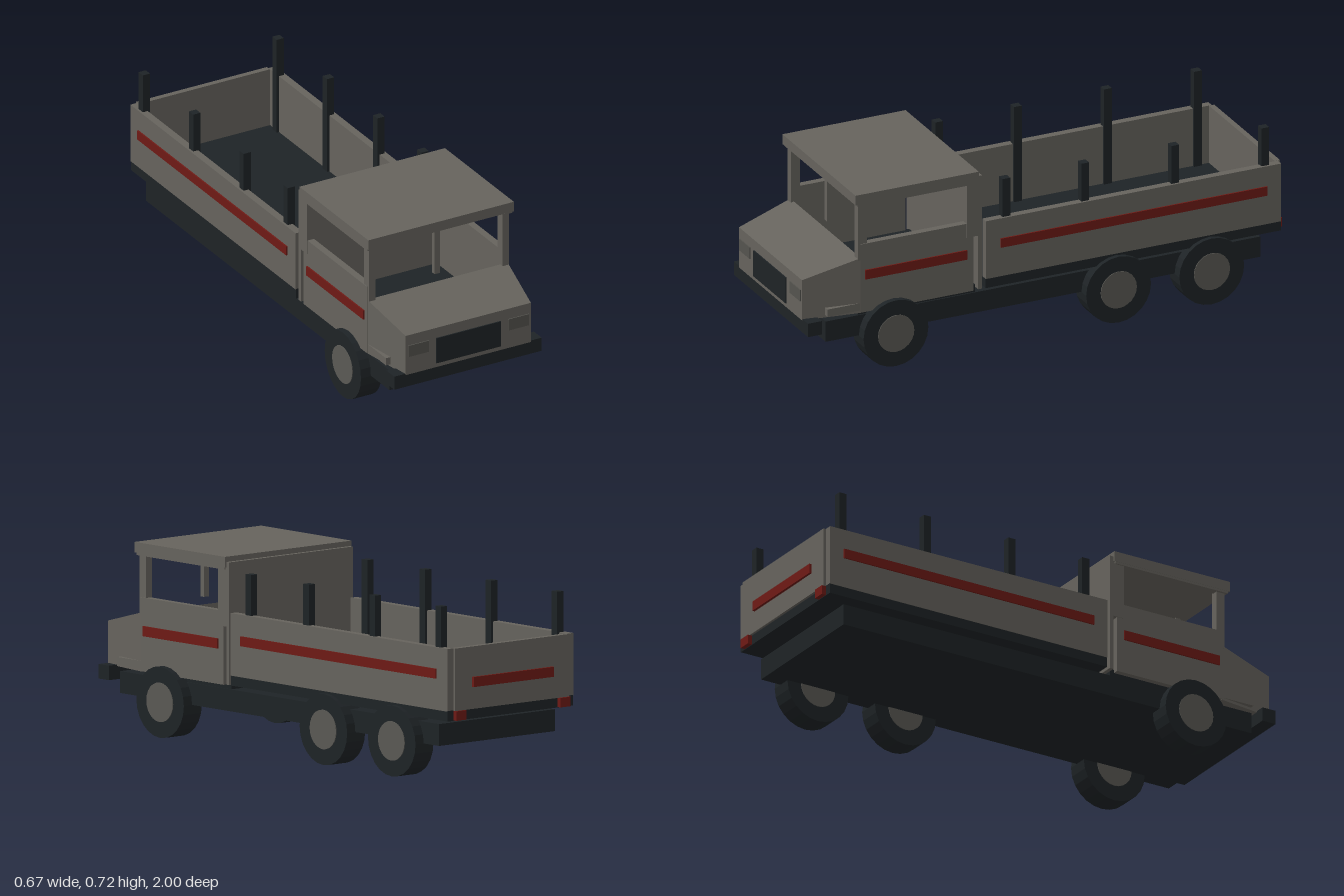
import * as THREE from 'three';

const paint = (color) => new THREE.MeshStandardMaterial({ color, flatShading: true });

export function createModel() {
  const truck = new THREE.Group();
  const body = paint(0x66635d);
  const dark = paint(0x1e2326);
  const red = paint(0x6e1a15);
  const hubGrey = paint(0x5a5954);
  const lamp = paint(0x54534e);

  function add(name, geometry, material) {
    const mesh = new THREE.Mesh(geometry, material);
    mesh.name = name;
    truck.add(mesh);
    return mesh;
  }
  // Box given by its limits on each axis
  function box(name, material, [x0, x1], [y0, y1], [z0, z1]) {
    const g = new THREE.BoxGeometry(x1 - x0, y1 - y0, z1 - z0);
    g.translate((x0 + x1) / 2, (y0 + y1) / 2, (z0 + z1) / 2);
    return add(name, g, material);
  }
  // The same box on the left and the right
  function pair(name, material, [x0, x1], y, z) {
    box(name + 'Left', material, [x0, x1], y, z);
    box(name + 'Right', material, [-x1, -x0], y, z);
  }

  // Chassis and bumper
  box('chassis', dark, [-0.29, 0.29], [0.137, 0.22], [-0.905, 0.905]);
  box('frontBumper', dark, [-0.32, 0.32], [0.185, 0.24], [0.935, 0.993]);

  // Hood: a box narrowed and lowered towards the front
  const hood = new THREE.BoxGeometry(0.61, 0.225, 0.23);
  hood.translate(0, 0.3475, 0.88);
  const p = hood.attributes.position;
  for (let i = 0; i < p.count; i++) {
    if (p.getZ(i) > 0.9) {
      p.setX(i, Math.sign(p.getX(i)) * 0.272);
      if (p.getY(i) > 0.3) p.setY(i, 0.4);
    }
  }
  hood.computeVertexNormals();
  add('hood', hood, body);
  box('grille', dark, [-0.14, 0.14], [0.253, 0.358], [0.98, 1.0]);
  pair('headlight', lamp, [0.172, 0.262], [0.31, 0.357], [0.98, 0.999]);
  pair('frontFender', body, [0.285, 0.305], [0.245, 0.275], [0.77, 0.905]);

  // Cab
  box('cabFloor', dark, [-0.285, 0.285], [0.22, 0.25], [0.28, 0.77]);
  pair('door', body, [0.28, 0.308], [0.237, 0.517], [0.298, 0.768]);
  pair('doorStripe', red, [0.3, 0.314], [0.372, 0.41], [0.327, 0.75]);
  pair('frontPillar', body, [0.275, 0.305], [0.45, 0.69], [0.74, 0.777]);
  pair('rearPillar', body, [0.275, 0.31], [0.46, 0.69], [0.28, 0.327]);
  pair('roofRail', body, [0.283, 0.315], [0.676, 0.69], [0.285, 0.785]);
  box('windscreenBar', body, [-0.012, 0.012], [0.492, 0.69], [0.745, 0.765]);
  box('cabRearWall', body, [-0.31, 0.31], [0.24, 0.705], [0.264, 0.28]);
  box('roof', body, [-0.316, 0.316], [0.685, 0.725], [0.28, 0.793]);

  // Cargo bed
  box('bedFloor', dark, [-0.313, 0.313], [0.24, 0.28], [-0.98, 0.25]);
  pair('bedSide', body, [0.285, 0.315], [0.278, 0.515], [-0.98, 0.25]);
  box('tailgate', body, [-0.284, 0.284], [0.278, 0.515], [-0.99, -0.968]);
  pair('bedStripe', red, [0.31, 0.321], [0.397, 0.434], [-0.92, 0.19]);
  box('tailgateStripe', red, [-0.2, 0.2], [0.362, 0.4], [-1.0, -0.985]);
  pair('tailLight', red, [0.235, 0.285], [0.242, 0.278], [-0.998, -0.975]);
  for (const z of [0.16, -0.168, -0.543, -0.918]) {
    pair('stake', dark, [0.275, 0.306], [0.275, 0.67], [z - 0.016, z + 0.016]);
  }

  // Wheels: three on the left side, one on the right
  function wheel(name, x, z) {
    const group = new THREE.Group();
    group.name = name;
    const parts = [['tire', 0.135, 0.09, dark], ['hub', 0.075, 0.096, hubGrey]];
    for (const [part, radius, width, material] of parts) {
      const g = new THREE.CylinderGeometry(radius, radius, width, 24).rotateZ(Math.PI / 2);
      const mesh = new THREE.Mesh(g, material);
      mesh.name = part;
      group.add(mesh);
    }
    group.position.set(x, 0.136, z);
    truck.add(group);
  }
  wheel('frontWheelLeft', 0.286, 0.632);
  wheel('frontWheelRight', -0.288, 0.632);
  wheel('middleWheelLeft', 0.286, -0.295);
  wheel('rearWheelLeft', 0.286, -0.683);

  return truck;
}
